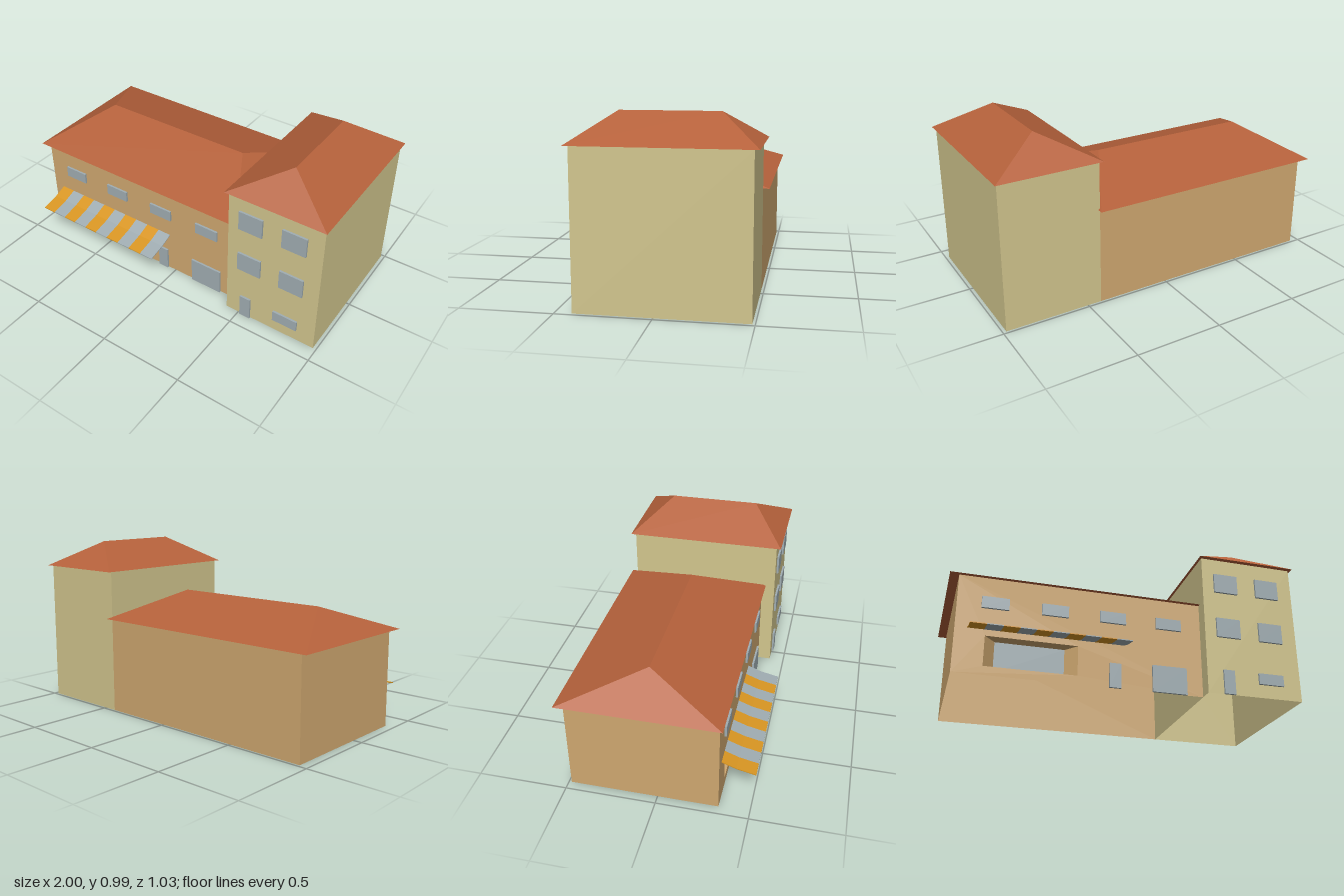
import * as THREE from 'three';

const mat = (name, color) => {
  const m = new THREE.MeshStandardMaterial({ color, side: THREE.DoubleSide });
  m.name = name;
  return m;
};

export function createModel() {
  const tan = mat('tan plaster', 0xcfa870);
  const cream = mat('cream plaster', 0xd2c68e);
  const tile = mat('terracotta tile', 0xb5613b);
  const glass = mat('blue grey glass', 0xa0adb2);
  const orange = mat('orange canvas', 0xd99622);

  const model = new THREE.Group();
  model.name = 'townBuilding';

  const add = (parent, name, geometry, material) => {
    const mesh = new THREE.Mesh(geometry, material);
    mesh.name = name;
    parent.add(mesh);
    return mesh;
  };
  const group = (name) => {
    const g = new THREE.Group();
    g.name = name;
    model.add(g);
    return g;
  };

  // Flat faces from lists of corners (counter-clockwise seen from outside)
  const faces = (list) => {
    const pos = [];
    for (const f of list)
      for (let i = 1; i < f.length - 1; i++) pos.push(...f[0], ...f[i], ...f[i + 1]);
    const g = new THREE.BufferGeometry();
    g.setAttribute('position', new THREE.Float32BufferAttribute(pos, 3));
    g.computeVertexNormals();
    return g;
  };

  // Upright wall between two ground points
  const wall = (x0, z0, x1, z1, h) => [[x0, 0, z0], [x1, 0, z1], [x1, h, z1], [x0, h, z0]];

  // Hipped roof: eave rectangle, ridge from r0 to r1, flat underside
  const hipRoof = (x0, x1, z0, z1, y, r0, r1, alongX) => {
    const a = [x0, y, z1], b = [x1, y, z1], c = [x1, y, z0], d = [x0, y, z0];
    return faces(alongX
      ? [[a, b, r1, r0], [b, c, r1], [c, d, r0, r1], [d, a, r0], [a, d, c, b]]
      : [[a, b, r1], [b, c, r0, r1], [c, d, r0], [d, a, r1, r0], [a, d, c, b]]);
  };

  // Glazed boxes standing slightly proud of a front wall: [x0, x1, y0, y1]
  const openings = (parent, name, z, list) => {
    for (const [x0, x1, y0, y1] of list) {
      const g = new THREE.BoxGeometry(x1 - x0, y1 - y0, 0.012);
      add(parent, name, g, glass).position.set((x0 + x1) / 2, (y0 + y1) / 2, z + 0.006);
    }
  };

  // Long low wing
  const wing = group('wing');
  const L = -0.95, R = 0.42, H = 0.56, F = 0.332, B = -0.485;
  const shop = { x0: -0.79, x1: -0.29, y0: 0.05, y1: 0.22, depth: 0.07, splay: 0.06 };

  const front = new THREE.Shape([[L, 0], [R, 0], [R, H], [L, H]].map((p) => new THREE.Vector2(...p)));
  front.holes.push(new THREE.Path([
    [shop.x0, shop.y0], [shop.x0, shop.y1], [shop.x1, shop.y1], [shop.x1, shop.y0],
  ].map((p) => new THREE.Vector2(...p))));
  add(wing, 'wingFrontWall', new THREE.ShapeGeometry(front), tan).position.z = F;
  add(wing, 'wingOuterWalls', faces([wall(R, B, L, B, H), wall(L, B, L, F, H)]), tan);
  add(wing, 'wingRoof', hipRoof(-1, 0.43, -0.52, 0.355, H,
    [-0.755, 0.71, -0.075], [0.2, 0.71, -0.075], true), tile);

  // Recessed shop window with splayed sides
  const { x0, x1, y0, y1 } = shop;
  const g0 = x0 + shop.splay, g1 = x1 - shop.splay, zb = F - shop.depth;
  add(wing, 'shopRecess', faces([
    [[x0, y0, F], [g0, y0, zb], [g0, y1, zb], [x0, y1, F]],
    [[g1, y0, zb], [x1, y0, F], [x1, y1, F], [g1, y1, zb]],
    [[x0, y0, F], [x1, y0, F], [g1, y0, zb], [g0, y0, zb]],
    [[x0, y1, F], [g0, y1, zb], [g1, y1, zb], [x1, y1, F]],
  ]), tan);
  add(wing, 'shopWindow', faces([[[g0, y0, zb], [g1, y0, zb], [g1, y1, zb], [g0, y1, zb]]]), glass);

  openings(wing, 'upperWindow', F, [-0.82, -0.495, -0.17, 0.153].map((x) => [x, x + 0.148, 0.378, 0.445]));
  openings(wing, 'wingDoor', F, [[-0.116, -0.052, 0, 0.14]]);
  openings(wing, 'garageDoor', F, [[0.127, 0.325, 0, 0.155]]);

  // Striped awning over the shop
  const awning = group('awning');
  const slope = [[F, 0.26], [0.41, 0.23], [0.515, 0.207]];
  const thickness = 0.005, count = 10, stripe = 0.848 / count;
  const profile = new THREE.Shape([
    ...slope, ...slope.map(([z, y]) => [z, y - thickness]).reverse(),
  ].map(([z, y]) => new THREE.Vector2(-z, y)));
  for (let i = 0; i < count; i++) {
    const g = new THREE.ExtrudeGeometry(profile, { depth: stripe, bevelEnabled: false });
    g.rotateY(Math.PI / 2);
    add(awning, 'awningStripe', g, i % 2 ? glass : orange).position.x = -0.885 + i * stripe;
  }

  // Taller tower
  const tower = group('tower');
  const TR = 0.98, TF = 0.41, TH = 0.836;
  add(tower, 'towerWalls', faces([
    wall(R, TF, TR, TF, TH), wall(TR, TF, TR, B, TH), wall(TR, B, R, B, TH), wall(R, B, R, TF, TH),
  ]), cream);
  add(tower, 'towerRoof', hipRoof(0.405, 0.995, -0.512, 0.437, TH,
    [0.7, 0.99, -0.3], [0.7, 0.99, 0.23], false), tile);
  for (const y of [0.338, 0.62])
    openings(tower, 'towerWindow', TF, [0.488, 0.746].map((x) => [x, x + 0.143, y, y + 0.117]));
  openings(tower, 'towerDoor', TF, [[0.513, 0.578, 0, 0.14]]);
  openings(tower, 'lowWindow', TF, [[0.724, 0.873, 0.077, 0.141]]);

  return model;
}
